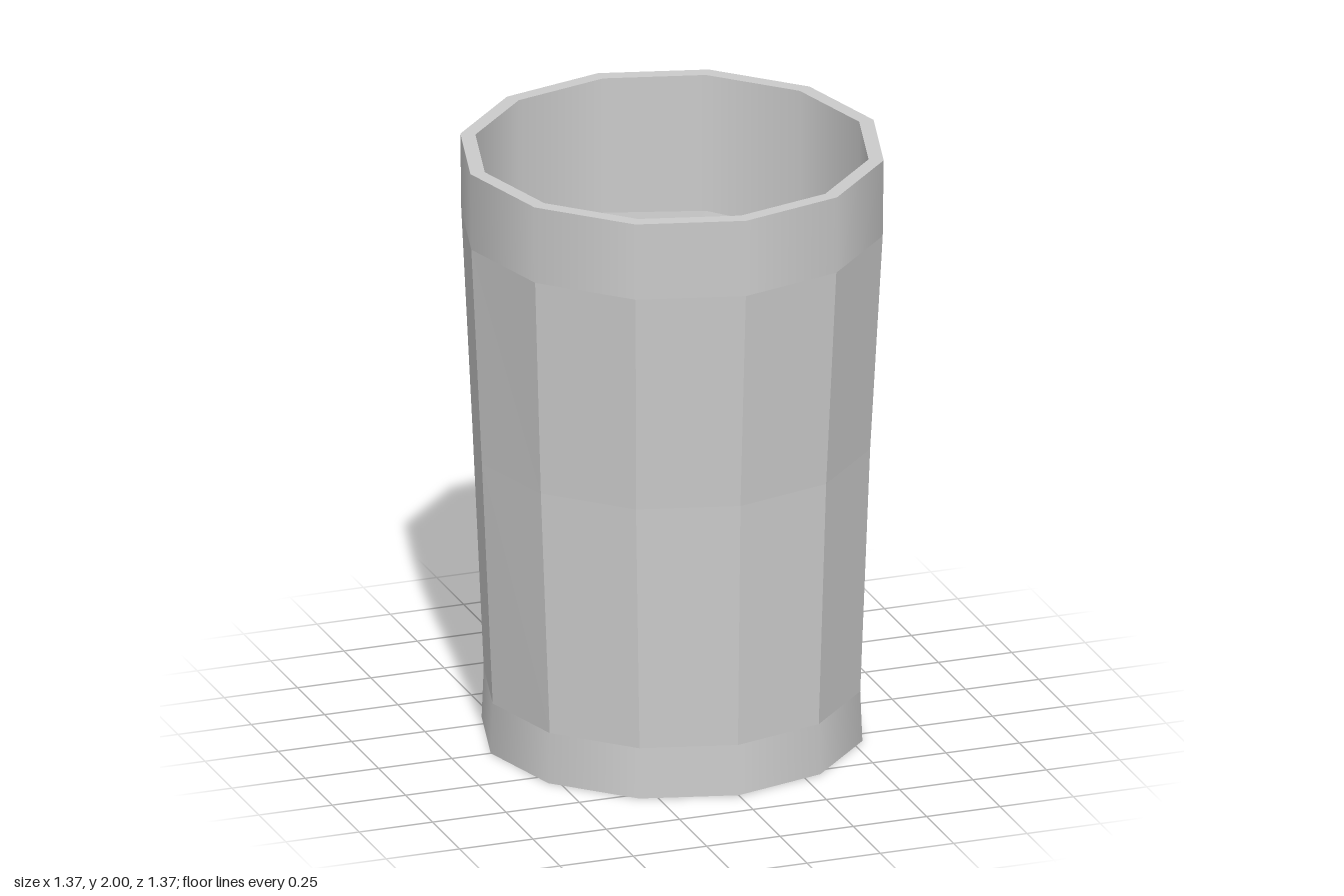
import * as THREE from 'three';

const SIDES = 12;

// Twelve-sided ring swept from [radius, height] pairs
function ring(name, profile, flatShading) {
  const points = profile.map(([r, y]) => new THREE.Vector2(r, y));
  const material = new THREE.MeshStandardMaterial({ color: 0xcccccc, flatShading });
  const mesh = new THREE.Mesh(new THREE.LatheGeometry(points, SIDES), material);
  mesh.name = name;
  return mesh;
}

export function createModel() {
  const group = new THREE.Group();
  group.name = 'tumbler';

  // Smooth bands above and below the faceted wall
  group.add(ring('upperBand', [[0.684, 1.74], [0.687, 2]], false));
  group.add(ring('lowerBand', [[0.618, 0], [0.611, 0.17]], false));

  // Faceted wall, very slightly pinched on the front half at mid height
  const wall = ring('facetedWall', [[0.611, 0.17], [0.648, 1], [0.684, 1.74]], true);
  const p = wall.geometry.attributes.position;
  for (let i = 0; i < p.count; i++) {
    if (Math.abs(p.getY(i) - 1) < 0.01 && p.getZ(i) > 0.1) p.setZ(i, p.getZ(i) - 0.014);
  }
  group.add(wall);

  // Lip and inside wall
  group.add(ring('lip', [[0.687, 2], [0.638, 2]], true));
  group.add(ring('innerWall', [[0.638, 2], [0.638, 1.42]], false));

  // Recessed underside with a sloping foot
  group.add(ring('foot', [[0.555, 0.1], [0.618, 0]], true));
  group.add(ring('base', [[0, 0.1], [0.555, 0.1]], true));

  // Contents: a low, off-centre faceted mound
  const mound = new THREE.ConeGeometry(0.638, 1, SIDES, 1, true);
  const m = mound.attributes.position;
  for (let i = 0; i < m.count; i++) {
    if (m.getY(i) > 0) m.setXYZ(i, -0.03, 1.71, 0.125);
    else m.setY(i, 1.5 - 0.06 * m.getZ(i));
  }
  mound.computeVertexNormals();
  const contents = new THREE.Mesh(mound, new THREE.MeshStandardMaterial({
    color: 0xcccccc, flatShading: true, side: THREE.DoubleSide,
  }));
  contents.name = 'contents';
  group.add(contents);

  return group;
}
